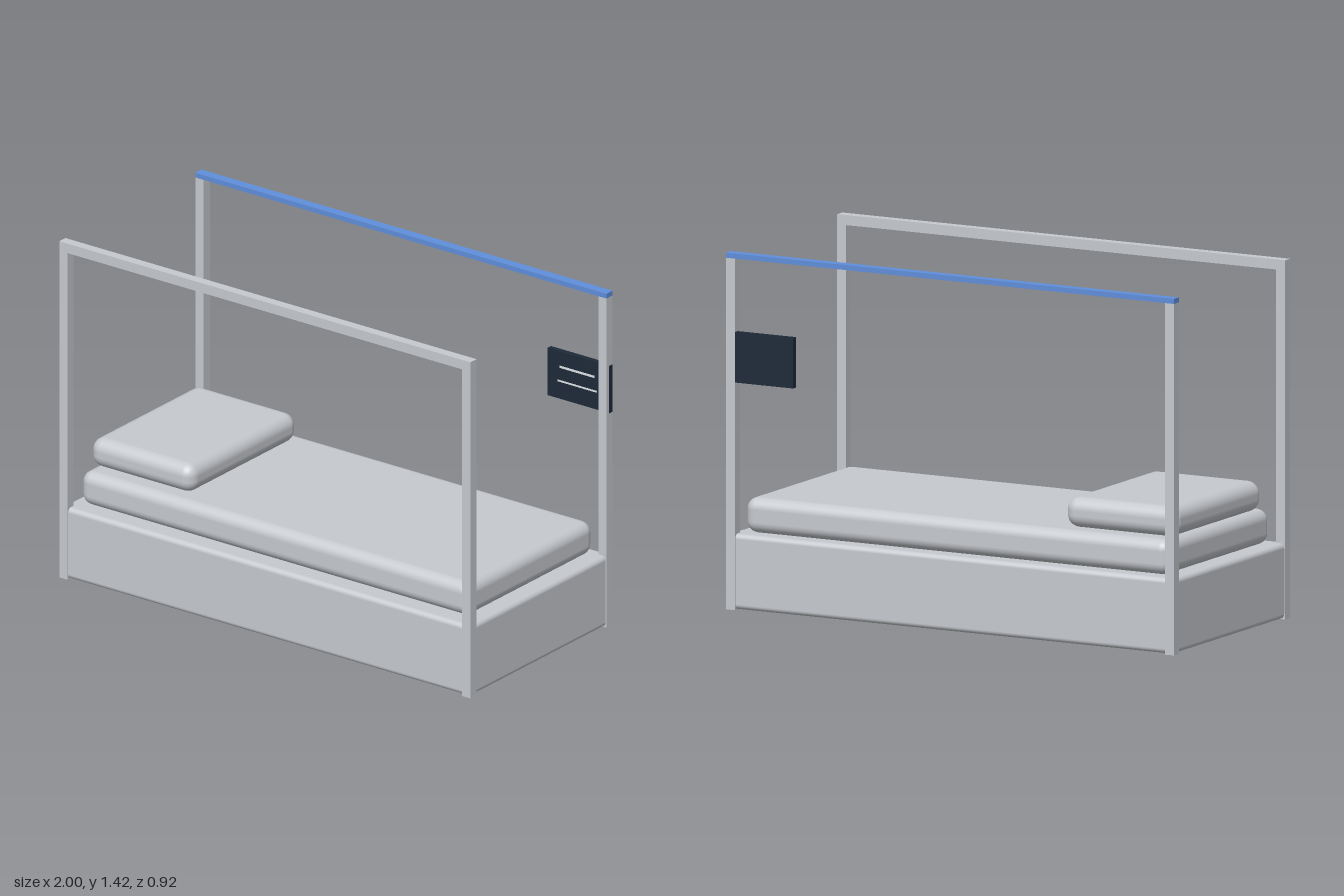
import * as THREE from 'three';
import { RoundedBoxGeometry } from 'three/addons/geometries/RoundedBoxGeometry.js';

const material = (name, color) => {
  const m = new THREE.MeshStandardMaterial({ color });
  m.name = name;
  return m;
};

export function createModel() {
  const grey = material('light grey', 0xc6c9ce);
  const blue = material('blue', 0x5f8fdc);
  const navy = material('dark navy', 0x1e2a3a);
  const white = material('off white', 0xe8ecf0);

  const bed = new THREE.Group();
  bed.name = 'canopyBed';

  // Box given by its extents on each axis; a radius rounds the edges
  function block(name, mat, [x0, x1], [y0, y1], [z0, z1], radius = 0) {
    const size = [x1 - x0, y1 - y0, z1 - z0];
    const geometry = radius
      ? new RoundedBoxGeometry(...size, 4, radius)
      : new THREE.BoxGeometry(...size);
    const mesh = new THREE.Mesh(geometry, mat);
    mesh.name = name;
    mesh.position.set((x0 + x1) / 2, (y0 + y1) / 2, (z0 + z1) / 2);
    bed.add(mesh);
  }

  // Base, mattress and pillow
  block('base', grey, [-0.996, 0.996], [0.002, 0.3], [-0.456, 0.456], 0.02);
  block('mattress', grey, [-0.95, 0.945], [0.3, 0.44], [-0.418, 0.4], 0.045);
  block('pillow', grey, [-0.95, -0.45], [0.44, 0.56], [-0.36, 0.34], 0.05);

  // Four corner posts
  const ends = [[-1, -0.96], [0.96, 1]];
  const front = [0.42, 0.46], back = [-0.46, -0.42];
  for (const x of ends) {
    block('frontPost', grey, x, [0, 1.38], front);
    block('backPost', grey, x, [0, 1.39], back);
  }

  // Long top rails: plain at the front, thin light bar at the back
  block('frontRail', grey, [-1, 1], [1.38, 1.42], front);
  block('backLightBar', blue, [-1, 1], [1.39, 1.41], back);

  // Display panel mounted on the back post, with plain readout bars
  block('displayPanel', navy, [0.7, 1.001], [0.9, 1.1], [-0.459, -0.437]);
  block('readoutBar', white, [0.76, 0.93], [1.031, 1.04], [-0.437, -0.435]);
  block('readoutBar', white, [0.75, 0.94], [0.972, 0.979], [-0.437, -0.435]);

  return bed;
}
